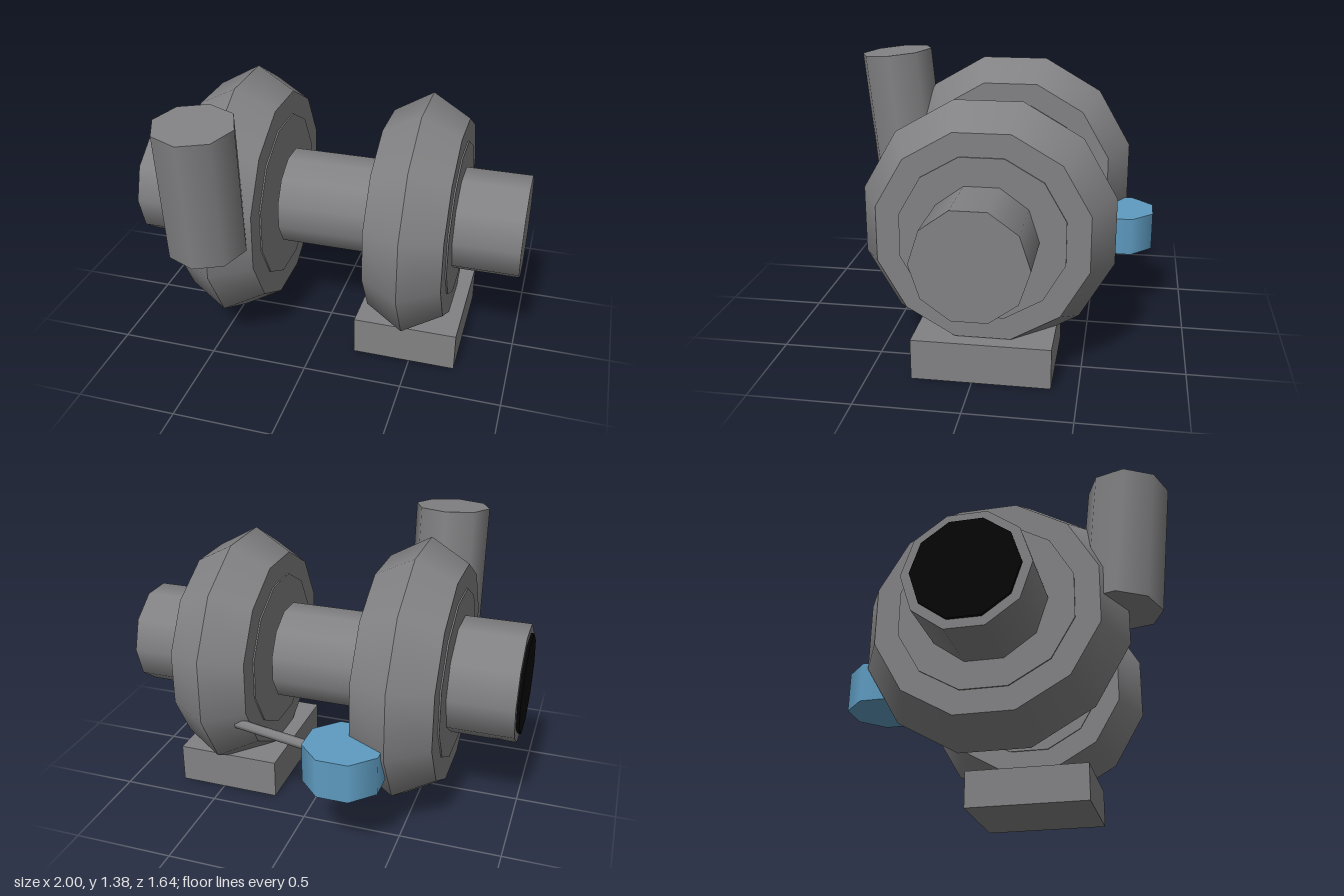
import * as THREE from 'three';

export function createModel() {
  const group = new THREE.Group();
  const material = (name, color) => {
    const m = new THREE.MeshStandardMaterial({ color });
    m.name = name;
    return m;
  };
  const grey = material('castGrey', 0x828284);
  const blue = material('actuatorBlue', 0x5f9cc2);
  const black = material('openingBlack', 0x050505);

  const add = (name, geometry, mat, x, y, z, parent = group) => {
    const mesh = new THREE.Mesh(geometry, mat);
    mesh.name = name;
    mesh.position.set(x, y, z);
    parent.add(mesh);
    return mesh;
  };

  // Everything on the shaft is a prism along x; flats turns its flat sides to y and z
  const shaftY = 0.697, shaftZ = -0.042;
  const prismX = (name, x0, x1, r0, r1, sides, mat = grey, flats = false, open = false, parent = group) => {
    const g = new THREE.CylinderGeometry(r1, r0, x1 - x0, sides, 1, open, flats ? Math.PI / sides : 0);
    g.rotateZ(-Math.PI / 2);
    return add(name, g, mat, (x0 + x1) / 2, shaftY, shaftZ, parent);
  };

  // Housing: two frusta meeting at a ridge, with a thin raised disc on each face
  const housing = (name, x0, x1, rimR, ridgeR, discR) => {
    const h = new THREE.Group();
    h.name = name;
    group.add(h);
    const mid = (x0 + x1) / 2;
    prismX('leftRim', mid, x1, ridgeR, rimR, 12, grey, true, true, h);
    prismX('rightRim', x0, mid, rimR, ridgeR, 12, grey, true, true, h);
    for (const [x, side] of [[x0, -1], [x1, 1]]) {
      const face = new THREE.CircleGeometry(rimR, 12, Math.PI / 12);
      face.rotateY(side * Math.PI / 2);
      add('faceWall', face, grey, x, shaftY, shaftZ, h);
    }
    prismX('faceDisc', x0 - 0.007, x1 + 0.007, discR, discR, 12, grey, true, false, h);
  };
  housing('compressorHousing', -0.653, -0.259, 0.549, 0.66, 0.43);
  housing('turbineHousing', 0.28, 0.663, 0.51, 0.619, 0.397);

  // Pipes along the shaft
  prismX('inletPipe', -0.985, -0.65, 0.295, 0.295, 10);
  prismX('inletOpening', -1, -0.98, 0.25, 0.25, 10, black);
  prismX('bearingHousing', -0.225, 0.238, 0.251, 0.251, 12, grey, true);
  prismX('outletPipe', 0.65, 1, 0.263, 0.263, 10);

  // Leaning discharge pipe
  const discharge = add('dischargePipe', new THREE.CylinderGeometry(0.197, 0.197, 0.66, 8),
    grey, -0.456, 1.0275, 0.59);
  discharge.rotation.x = 0.097;

  // Mounting foot
  add('mountingFoot', new THREE.BoxGeometry(0.528, 0.2, 0.664), grey, 0.47, 0.1, -0.042);

  // Actuator can and its rod
  add('actuatorCan', new THREE.CylinderGeometry(0.198, 0.198, 0.196, 8, 1, false, Math.PI / 8),
    blue, -0.258, 0.467, -0.638);
  const from = new THREE.Vector3(-0.2, 0.485, -0.623);
  const to = new THREE.Vector3(0.34, 0.49, -0.51);
  const rod = add('actuatorRod', new THREE.CylinderGeometry(0.025, 0.025, from.distanceTo(to), 6), grey, 0, 0, 0);
  rod.position.lerpVectors(from, to, 0.5);
  rod.quaternion.setFromUnitVectors(new THREE.Vector3(0, 1, 0), to.clone().sub(from).normalize());

  return group;
}
